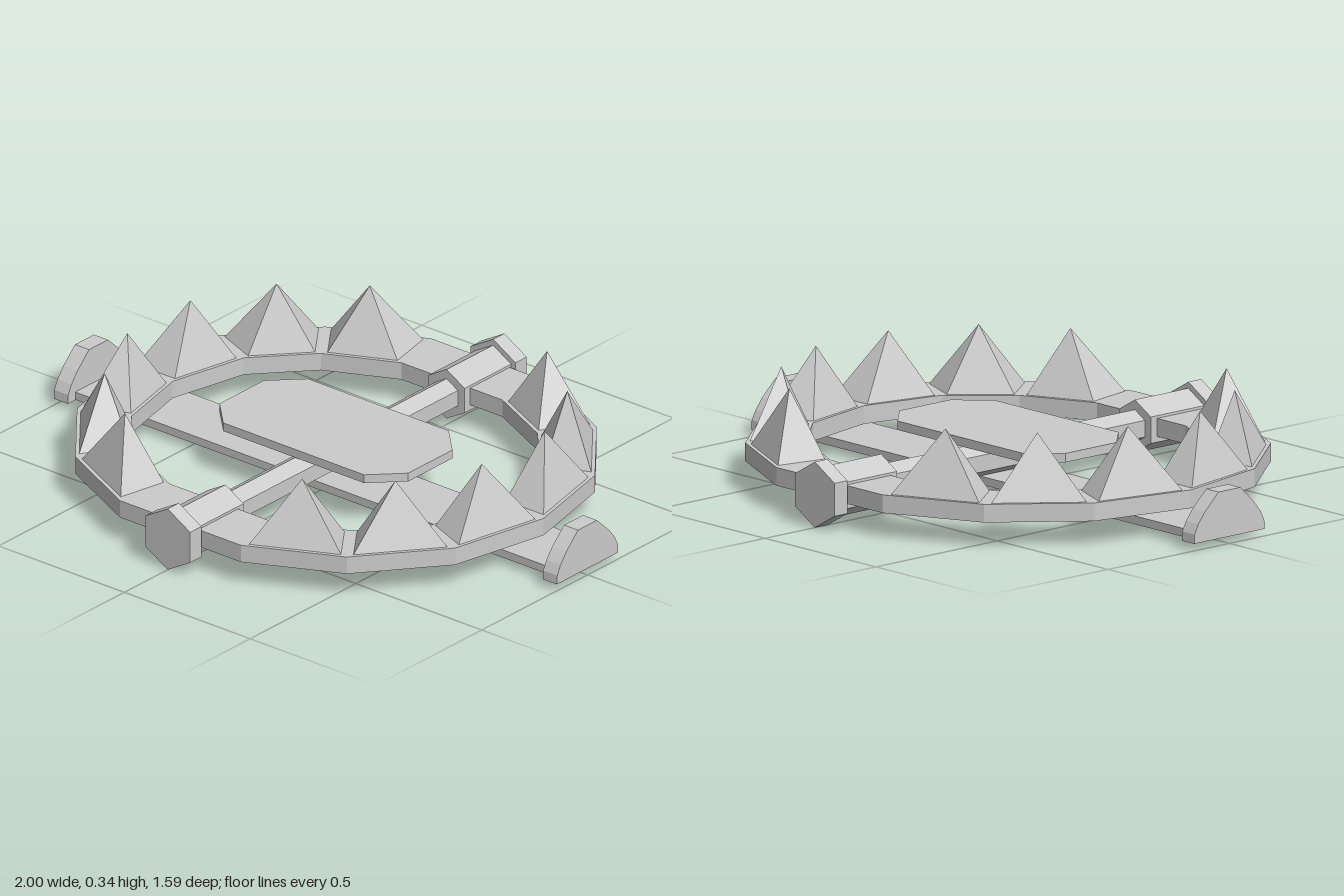
import * as THREE from 'three';

const material = new THREE.MeshStandardMaterial({ color: 0xcccccc, flatShading: true });

// One quarter of the jaw ring, as [x, z], from the side to the hinge
const OUTER = [[0.825, 0], [0.752, 0.33], [0.54, 0.59], [0.24, 0.735]];
const INNER = [[0.65, 0], [0.59, 0.265], [0.43, 0.44], [0.2, 0.548]];

function addMesh(parent, name, geometry) {
  const mesh = new THREE.Mesh(geometry, material);
  mesh.name = name;
  parent.add(mesh);
  return mesh;
}

const toPoints = (list) => list.map(([x, y]) => new THREE.Vector2(x, y));

// Mirrors a quarter outline into a closed loop
function fullLoop(q) {
  const half = [...q, ...q.slice(1).reverse().map(([x, z]) => [-x, z])];
  half.push([-q[0][0], 0]);
  return toPoints([...half, ...q.slice(1).map(([x, z]) => [-x, -z]),
    ...q.slice(1).reverse().map(([x, z]) => [x, -z])]);
}

// Flat slab with its outline in the ground plane, from y0 to y1
function slab(shape, y0, y1) {
  return new THREE.ExtrudeGeometry(shape, { depth: y1 - y0, bevelEnabled: false })
    .rotateX(-Math.PI / 2).translate(0, y0, 0);
}

// Hexagonal rod along z with a corner pointing up
function hexRod(radius, z0, z1) {
  return new THREE.CylinderGeometry(radius, radius, z1 - z0, 6)
    .rotateX(Math.PI / 2).translate(0, 0.107, (z0 + z1) / 2);
}

// Four-sided spike standing on one ring segment
function spike(i, sx, sz) {
  const corners = [OUTER[i], OUTER[i + 1], INNER[i + 1], INNER[i]];
  const cx = corners.reduce((s, c) => s + c[0], 0) / 4;
  const cz = corners.reduce((s, c) => s + c[1], 0) / 4;
  const base = corners.map(([x, z]) => new THREE.Vector3(
    sx * (cx + (x - cx) * 0.87), 0.139, sz * (cz + (z - cz) * 0.87)));
  if (sx * sz < 0) base.reverse();
  const apex = new THREE.Vector3(sx * cx, 0.342, sz * cz);
  const points = [];
  for (let k = 0; k < 4; k++) points.push(base[(k + 1) % 4], base[k], apex);
  points.push(base[0], base[1], base[2], base[0], base[2], base[3]);
  const geometry = new THREE.BufferGeometry().setFromPoints(points);
  geometry.computeVertexNormals();
  return geometry;
}

export function createModel() {
  const model = new THREE.Group();
  model.name = 'jawTrap';

  // Jaw ring
  const ring = new THREE.Shape(fullLoop(OUTER));
  ring.holes.push(new THREE.Path(fullLoop(INNER)));
  addMesh(model, 'jawRing', slab(ring, 0.083, 0.14));

  // Spikes, three in each quarter
  const teeth = new THREE.Group();
  teeth.name = 'teeth';
  model.add(teeth);
  for (const sx of [1, -1]) for (const sz of [1, -1])
    for (let i = 0; i < 3; i++) addMesh(teeth, 'tooth', spike(i, sx, sz));

  // Base bar
  addMesh(model, 'baseBar', new THREE.BoxGeometry(1.9, 0.026, 0.22)).position.y = 0.04;

  // Rounded upright plates at the ends of the base bar
  const side = [[0.145, 0.026], [0.143, 0.055], [0.128, 0.085], [0.1, 0.12], [0.045, 0.172]];
  const endShape = new THREE.Shape(toPoints(
    [...side, ...side.slice().reverse().map(([z, y]) => [-z, y])]));
  for (const x of [0.972, -0.972]) {
    const geometry = new THREE.ExtrudeGeometry(endShape, { depth: 0.056, bevelEnabled: false })
      .translate(0, 0, -0.028).rotateY(Math.PI / 2);
    addMesh(model, 'endPlate', geometry).position.x = x;
  }

  // Hinge shaft with a collar and a bolt head at each end
  addMesh(model, 'shaft', hexRod(0.052, -0.75, 0.75));
  for (const s of [1, -1]) {
    const hinge = new THREE.Group();
    hinge.name = 'hinge';
    if (s < 0) hinge.rotation.y = Math.PI;
    addMesh(hinge, 'collar', hexRod(0.083, 0.522, 0.75));
    addMesh(hinge, 'boltHead', hexRod(0.103, 0.742, 0.795));
    model.add(hinge);
  }

  // Trigger plate with cut corners
  const plate = new THREE.Shape(fullLoop([[0.375, 0], [0.375, 0.105], [0.28, 0.2]]));
  addMesh(model, 'triggerPlate', slab(plate, 0.163, 0.191));

  return model;
}
